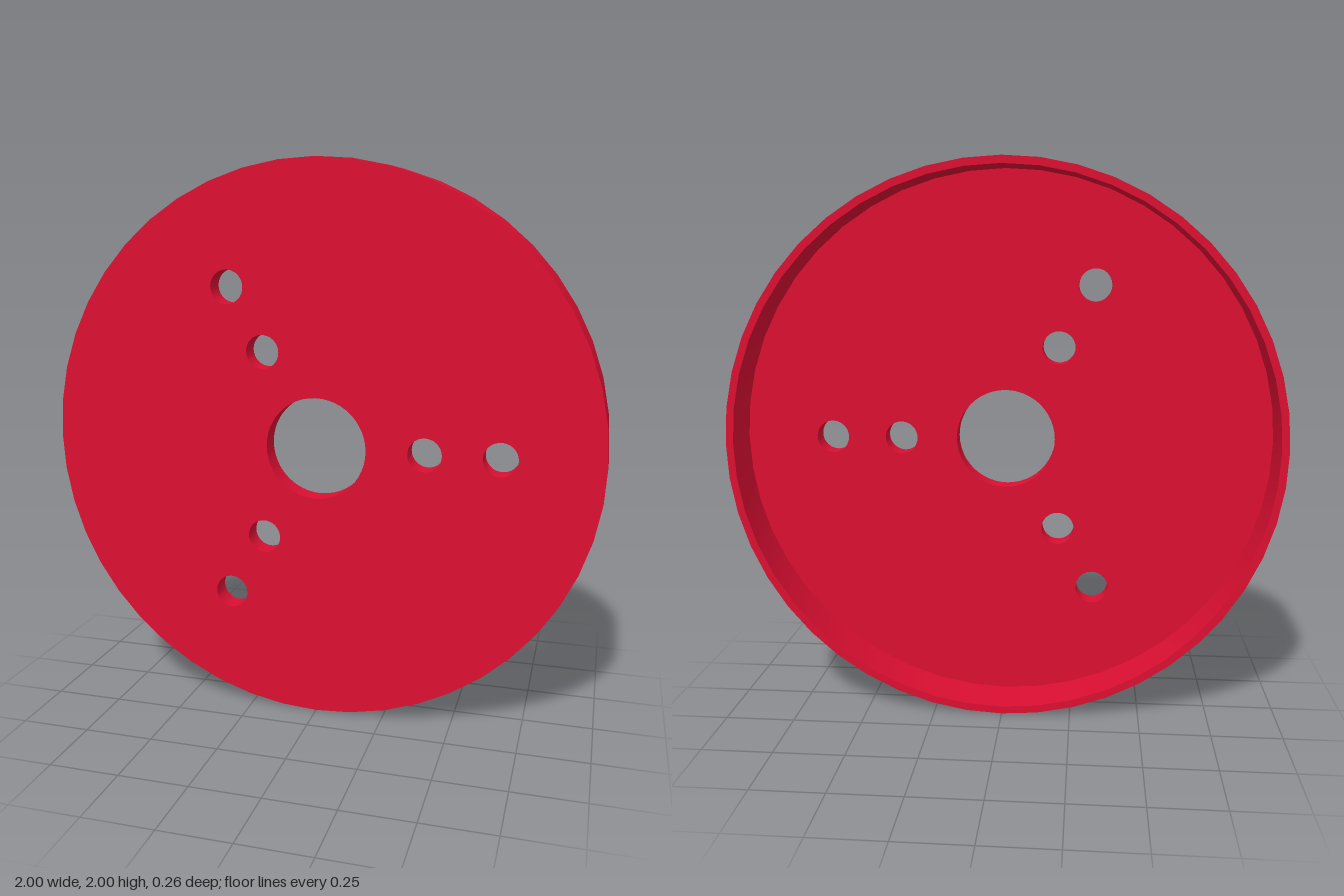
import * as THREE from 'three';
import { toCreasedNormals } from 'three/addons/utils/BufferGeometryUtils.js';

const SEGMENTS = 48;
const HALF_DEPTH = 0.13;
const PLATE_THICKNESS = 0.08;
const RIM_INNER = 0.973;
const HUB_RADIUS = 0.182;
const BOLT_RADIUS = 0.06;

const circle = (x, y, r) => new THREE.Path().absarc(x, y, r, 0, Math.PI * 2, false);

export function createModel() {
  const group = new THREE.Group();
  group.name = 'dishWheel';
  const red = new THREE.MeshStandardMaterial({ color: 0xdc0f32 });

  const add = (name, geometry) => {
    const mesh = new THREE.Mesh(toCreasedNormals(geometry, 0.6), red);
    mesh.name = name;
    mesh.position.y = 1;
    group.add(mesh);
  };

  // Front plate with a hub hole and three spokes of two bolt holes
  const plate = new THREE.Shape().absarc(0, 0, 1, 0, Math.PI * 2, false);
  plate.holes.push(circle(0, 0, HUB_RADIUS));
  for (let i = 0; i < 3; i++) {
    const a = (i * Math.PI * 2) / 3;
    for (const d of [0.39, 0.65]) {
      plate.holes.push(circle(d * Math.cos(a), d * Math.sin(a), BOLT_RADIUS));
    }
  }
  const plateBack = HALF_DEPTH - PLATE_THICKNESS;
  const plateGeometry = new THREE.ExtrudeGeometry(plate, {
    depth: PLATE_THICKNESS, bevelEnabled: false, curveSegments: SEGMENTS / 2,
  });
  plateGeometry.translate(0, 0, plateBack);
  add('frontPlate', plateGeometry);

  // Thin rim running back from the plate: inner wall, lip, outer wall
  const profile = [
    [RIM_INNER, plateBack], [RIM_INNER, -HALF_DEPTH], [1, -HALF_DEPTH], [1, plateBack],
  ].map(([r, z]) => new THREE.Vector2(r, z));
  const rimGeometry = new THREE.LatheGeometry(profile, SEGMENTS);
  rimGeometry.rotateX(Math.PI / 2);
  add('rim', rimGeometry);

  return group;
}
